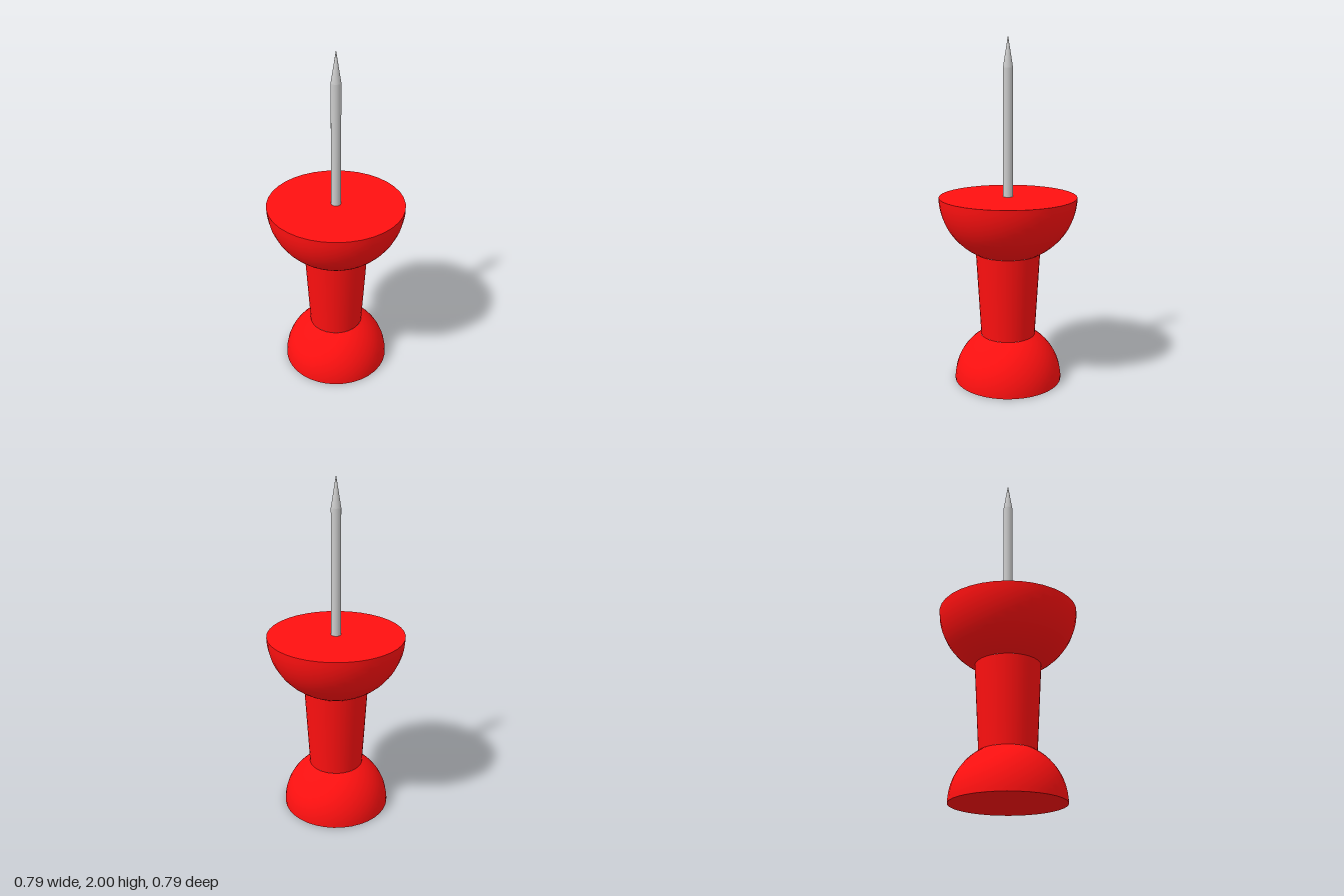
import * as THREE from 'three';

const SEGMENTS = 36;

export function createModel() {
  const model = new THREE.Group();
  model.name = 'pushPin';
  const red = new THREE.MeshStandardMaterial({ color: 0xff1010 });
  const grey = new THREE.MeshStandardMaterial({ color: 0xcccccc });

  // Surface of revolution; profile runs from bottom to top as [radius, y]
  function turned(name, profile, material, segments = SEGMENTS) {
    const points = profile.map(([r, y]) => new THREE.Vector2(r, y));
    const mesh = new THREE.Mesh(new THREE.LatheGeometry(points, segments), material);
    mesh.name = name;
    model.add(mesh);
  }

  // Elliptical dome arc between two angles above or below its widest ring
  function arc(radius, height, centreY, from, to, steps = 14) {
    return Array.from({ length: steps + 1 }, (_, i) => {
      const a = from + (to - from) * i / steps;
      return [radius * Math.cos(a), centreY + height * Math.sin(a)];
    });
  }

  // Domed grip end, flat underneath
  const gripAngle = Math.acos(0.159 / 0.316);
  turned('gripBottom', [[0, 0], [0.316, 0]], red);
  turned('gripDome', arc(0.316, 0.318, 0, 0, gripAngle), red);

  // Tapered neck
  turned('neck', [[0.159, 0.275], [0.187, 0.77]], red);

  // Bowl-shaped collar, flat on top
  const bowlAngle = Math.acos(0.187 / 0.397);
  turned('collarBowl', arc(0.397, 0.374, 1.1, -bowlAngle, 0), red);
  turned('collarTop', [[0.397, 1.1], [0, 1.1]], red);

  // Steel needle with a sharpened tip
  turned('needleShaft', [[0.028, 1.1], [0.028, 1.825]], grey, 24);
  turned('needleTip', [[0.028, 1.825], [0, 2]], grey, 24);

  return model;
}
